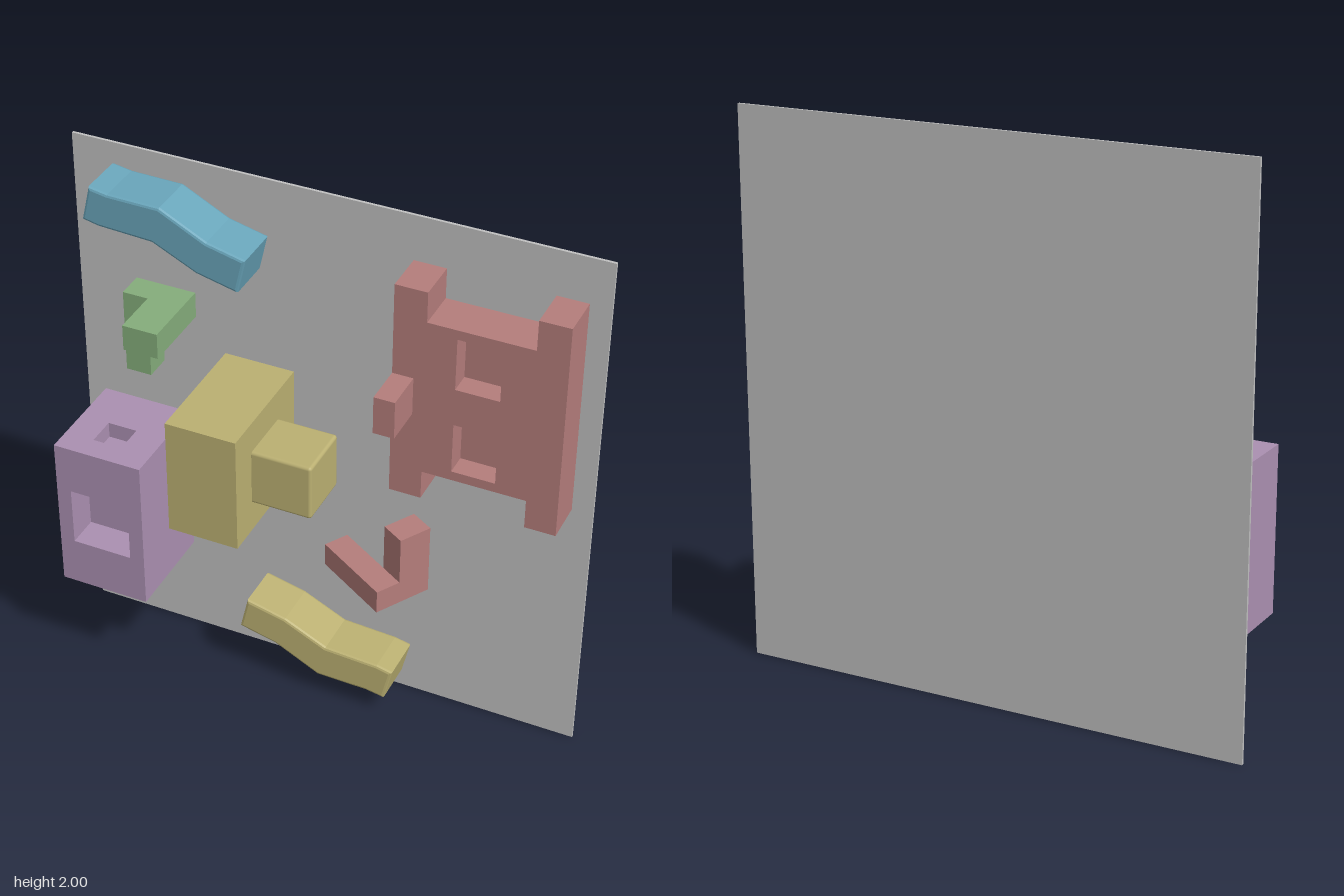
import * as THREE from 'three';
import { RoundedBoxGeometry } from 'three/addons/geometries/RoundedBoxGeometry.js';

const BACK = -0.22; // front surface of the wall panel

function material(name, color) {
  const m = new THREE.MeshStandardMaterial({ color });
  m.name = name;
  return m;
}

function add(parent, name, geometry, mat) {
  const mesh = new THREE.Mesh(geometry, mat);
  mesh.name = name;
  parent.add(mesh);
  return mesh;
}

// Box given by its limits on each axis, optionally with rounded edges
function box(x0, x1, y0, y1, z0, z1, radius = 0) {
  const size = [x1 - x0, y1 - y0, z1 - z0];
  const g = radius ? new RoundedBoxGeometry(...size, 2, radius) : new THREE.BoxGeometry(...size);
  return g.translate((x0 + x1) / 2, (y0 + y1) / 2, (z0 + z1) / 2);
}

const points = (list) => list.map(([x, y]) => new THREE.Vector2(x, y));
const rect = (x0, x1, y0, y1) => [[x0, y0], [x1, y0], [x1, y1], [x0, y1]];

// Outline with optional holes, extruded from z0 to z1
function slab(outline, holes, z0, z1, bevel = 0) {
  const shape = new THREE.Shape(points(outline));
  for (const h of holes) shape.holes.push(new THREE.Path(points(h)));
  return new THREE.ExtrudeGeometry(shape, {
    depth: z1 - z0 - 2 * bevel, bevelEnabled: bevel > 0, bevelSize: bevel,
    bevelThickness: bevel, bevelOffset: -bevel, bevelSegments: 2,
  }).translate(0, 0, z0 + bevel);
}

export function createModel() {
  const model = new THREE.Group();
  model.name = 'climbingWall';
  const grey = material('panel grey', 0xc0c0c0);
  const red = material('dusty red', 0xb47d7b);
  const yellow = material('ochre yellow', 0xbbb072);
  const purple = material('soft purple', 0xab90b1);
  const blue = material('sea blue', 0x69a5ba);
  const green = material('leaf green', 0x85ad7b);

  add(model, 'wallPanel', box(-0.955, 0.955, 0, 2, -0.23, BACK), grey);

  // Bent grips: the lower one is the upper one turned by half a turn
  const bent = [[-0.83, 1.795], [-0.77, 1.782], [-0.57, 1.772], [-0.41, 1.695], [-0.26, 1.66],
    [-0.23, 1.79], [-0.37, 1.823], [-0.54, 1.91], [-0.73, 1.913], [-0.80, 1.925]];
  const turned = bent.map(([x, y]) => [-0.505 - x, 2.005 - y]);
  add(model, 'upperBentGrip', slab(bent, [], BACK, -0.04, 0.01), blue);
  add(model, 'lowerBentGrip', slab(turned, [], BACK, -0.04, 0.01), yellow);

  // Small hook: upright bar and projecting arm
  const hook = new THREE.Group();
  hook.name = 'hookGrip';
  add(hook, 'hookBar', box(-0.735, -0.64, 1.17, 1.487, BACK, -0.12), green);
  add(hook, 'hookArm', box(-0.64, -0.51, 1.39, 1.487, BACK, 0.06), green);
  model.add(hook);

  // Large block with a side cube
  const block = new THREE.Group();
  block.name = 'blockGrip';
  add(block, 'blockBody', box(-0.40, -0.14, 0.825, 1.27, BACK, 0.23), yellow);
  add(block, 'blockSideCube', box(-0.15, 0.08, 0.94, 1.155, -0.1, 0.115, 0.012), yellow);
  model.add(block);

  // Pocket block: rear core, front with a square pocket, top with a small pocket
  const pocket = new THREE.Group();
  pocket.name = 'pocketGrip';
  const [px0, px1, py0, pyCap, py1, pzIn, pz1] = [-0.885, -0.55, 0.38, 0.915, 0.975, 0.035, 0.155];
  add(pocket, 'pocketCore', box(px0, px1, py0, pyCap, BACK, pzIn), purple);
  add(pocket, 'pocketFront',
    slab(rect(px0, px1, py0, pyCap), [rect(-0.83, -0.605, 0.565, 0.79)], pzIn, pz1), purple);
  const cap = slab(rect(px0, px1, -pz1, -BACK), [rect(-0.775, -0.665, -0.07, 0.04)], pyCap, py1);
  add(pocket, 'pocketCap', cap.rotateX(-Math.PI / 2), purple);
  model.add(pocket);

  // Tower plate: H outline with two window pockets and a knob
  const tower = new THREE.Group();
  tower.name = 'towerGrip';
  const outline = [[0.285, 1.015], [0.4, 1.015], [0.4, 1.125], [0.77, 1.125], [0.77, 1.015], [0.88, 1.015],
    [0.88, 1.833], [0.77, 1.833], [0.77, 1.72], [0.4, 1.72], [0.4, 1.833], [0.285, 1.833]];
  const windows = [[1.16, 1.35], [1.49, 1.685]].map(([a, b]) => rect(0.505, 0.66, a, b));
  add(tower, 'towerBack', slab(outline, [], BACK, -0.145), red);
  add(tower, 'towerFront', slab(outline, windows, -0.145, -0.065), red);
  add(tower, 'towerKnob', box(0.285, 0.36, 1.35, 1.492, -0.065, 0.085), red);
  model.add(tower);

  // Angled corner grip, turned about the vertical axis
  const corner = new THREE.Group();
  corner.name = 'cornerGrip';
  add(corner, 'cornerArm', box(-0.315, 0, 0.54, 0.63, -0.095, 0), red);
  add(corner, 'cornerPost', box(-0.095, 0, 0.54, 0.815, -0.22, -0.095), red);
  corner.position.set(0.29, 0, 0.028);
  corner.rotation.y = THREE.MathUtils.degToRad(-31);
  model.add(corner);

  return model;
}
